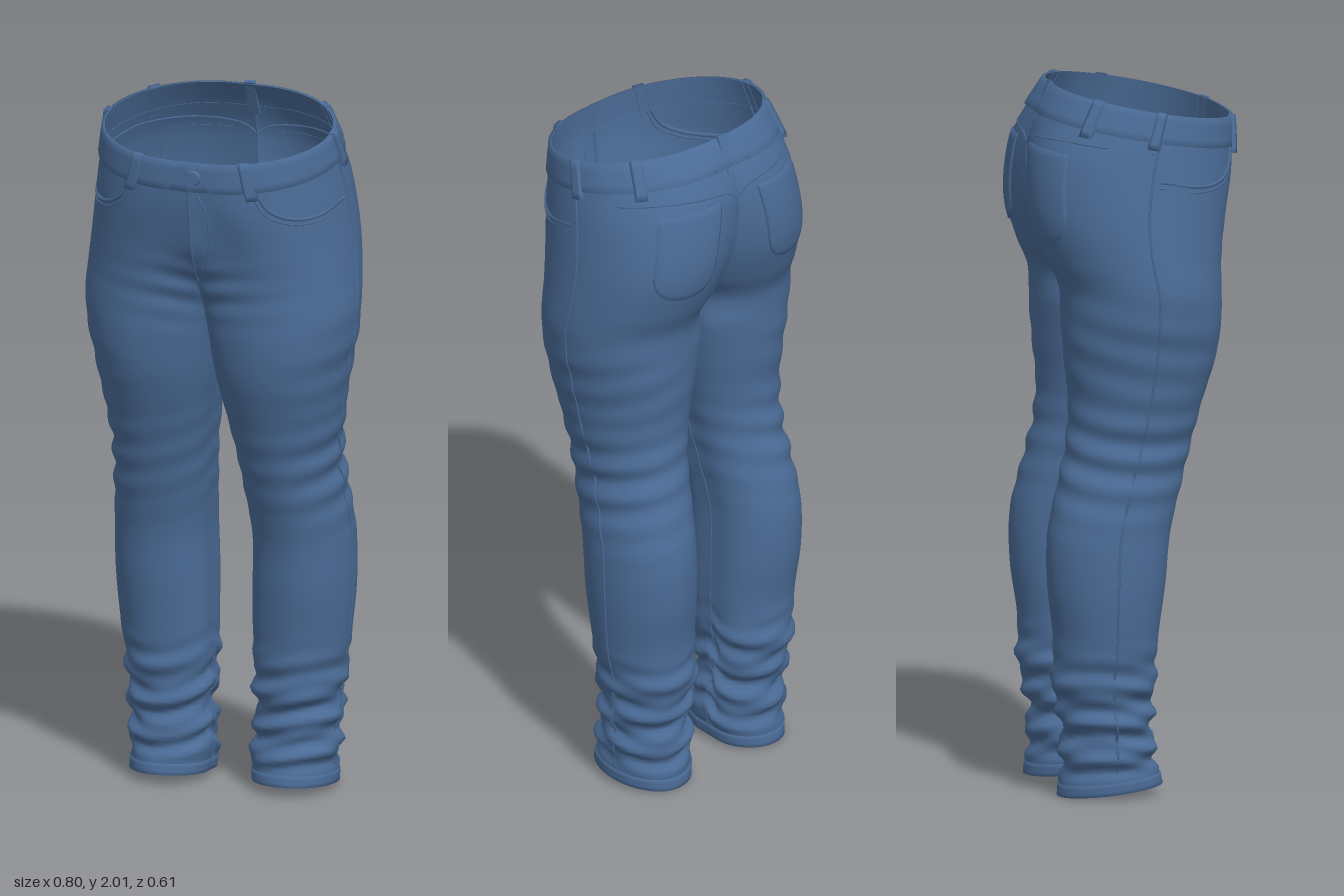
import * as THREE from 'three';
import { mergeGeometries, mergeVertices } from 'three/addons/utils/BufferGeometryUtils.js';

// Leg sections: height, inner x, outer x, x of the crease, front z, back z, flatness of the inner side
const LEG = [
  [0, .075, .298, .19, .065, -.228, .12], [.1, .065, .303, .19, .046, -.222, .12],
  [.2, .075, .308, .19, .036, -.22, .12], [.32, .07, .318, .195, .044, -.247, .12],
  [.45, .068, .336, .2, .052, -.245, .12], [.6, .07, .348, .21, .07, -.264, .12],
  [.75, .073, .347, .21, .085, -.264, .12], [.9, .06, .335, .2, .123, -.23, .12],
  [1, .05, .331, .19, .15, -.206, .13], [1.12, .032, .347, .18, .185, -.196, .15],
  [1.25, .01, .368, .18, .225, -.208, .18], [1.36, .003, .39, .18, .239, -.214, .25],
];
// Hip sections: height, inner x, outer x, x of the fullest point, front z, back z, centre front z, centre back z
const HIP = [
  [1.45, 0, .398, .17, .24, -.22, .17, -.1], [1.53, 0, .393, .16, .243, -.255, .215, -.19],
  [1.65, 0, .38, .14, .26, -.292, .275, -.255], [1.78, 0, .362, .1, .285, -.285, .293, -.272],
  [1.87, 0, .346, .06, .296, -.248, .3, -.245], [1.955, 0, .33, .04, .296, -.2, .298, -.2],
];
const ROWS = LEG.map(([y, xi, xo, xp, f, b, g]) => {
  const mid = (f + b) / 2, h = (f - b) * g;
  return [y, xi, xo, xp, f, b, mid + h, mid - h];
}).concat(HIP);
const CROTCH = 1.45, TOP = 1.955;
const smooth = THREE.MathUtils.smoothstep;
const bump = (v, c, w) => Math.exp(-(((v - c) / w) ** 2));

// Smoothly interpolated section at height v
function section(v) {
  let i = 0;
  while (i < ROWS.length - 2 && v > ROWS[i + 1][0]) i++;
  const slope = (k, c) => {
    const a = ROWS[Math.max(k - 1, 0)], b = ROWS[Math.min(k + 1, ROWS.length - 1)];
    return (b[c] - a[c]) / (b[0] - a[0]);
  };
  const p = ROWS[i], q = ROWS[i + 1], h = q[0] - p[0], t = (v - p[0]) / h;
  const t2 = t * t, t3 = t2 * t;
  return p.map((_, c) => (2 * t3 - 3 * t2 + 1) * p[c] + (t3 - 2 * t2 + t) * h * slope(i, c)
    + (3 * t2 - 2 * t3) * q[c] + (t3 - t2) * h * slope(i + 1, c));
}

// Point round a section: 0 centre front, 1 front, 2 outer side, 3 back, 4 centre back, 4 to 5 inner side
function outline(s, t) {
  const [v, xi, xo, xp, zf, zb, f0, b0] = s, mid = (zf + zb) / 2, k = 1 + smooth(v, 1.35, 1.6);
  if (t >= 4) return [xi, b0 + (f0 - b0) * (t - 4)];
  const a = Math.abs(t < 2 ? t - 1 : t - 3) * Math.PI / 2;
  const edge = t < 2 ? zf : zb, end = t < 2 ? f0 : b0;
  if (t < 1 || t > 3) return [xp - (xp - xi) * Math.sin(a), end + (edge - end) * Math.max(Math.cos(a), 0) ** k];
  return [xp + (xo - xp) * Math.sin(a), mid + (edge - mid) * Math.cos(a)];
}

// Folds in the cloth: ankles, knees, back of thighs and crotch
function folds(v, t, side) {
  const w = t * Math.PI * 2 / 5, ph = side * (1 - smooth(v, 1.1, 1.35));
  const ankle = .009 * (1 - smooth(v, .25, .48)) * smooth(v, .03, .08)
    * (Math.sin(v * 62 + 1.8 * Math.sin(w + ph) + ph) + .6 * Math.sin(v * 105 + 3 * Math.sin(w * 2 + ph)));
  const back = Math.max(0, -Math.cos(w * 1.1 + .1));
  const knee = .0055 * bump(v, .97, .14) * (.35 + back) * Math.sin(v * 70 + 3 * Math.sin(w + ph * .5));
  const thigh = .003 * bump(v, 1.28, .12) * back * Math.sin(v * 60 + 4 * Math.sin(w));
  const crotch = .005 * bump(v, 1.52, .08) * bump(t, .55, .5) * Math.sin(v * 85 - 3 * t);
  return ankle + knee + thigh + crotch;
}

// Point on the cloth, lifted outward by off
function surf(v, t, off = 0, side = 1) {
  const s = section(v), [x0, z0] = outline(s, t);
  const [xa, za] = outline(s, Math.max(t - .02, 0)), [xb, zb] = outline(s, Math.min(t + .02, 5));
  const tx = xb - xa, tz = zb - za, len = Math.hypot(tx, tz) || 1, d = off + folds(v, t, side);
  let x = Math.max(x0 - tz / len * d, Math.min(s[1], .004)), z = z0 + tx / len * d;
  if (v >= CROTCH - 1e-6 && (t === 0 || t >= 4)) x = 0;
  let y = v - .18 * (z - .05) * smooth(v, 1.55, 1.9) + .1 * (z + .23) * (1 - smooth(v, 0, .3));
  if (t > 4) y -= .035 * Math.sin((t - 4) * Math.PI) * smooth(v, 1.3, CROTCH);
  return new THREE.Vector3(x * side, y, z);
}

// Grid of points to geometry, leaving out cells that skip() rejects
function grid(nu, nv, point, flip, skip = () => false) {
  const pos = [], idx = [];
  for (let j = 0; j <= nv; j++) for (let i = 0; i <= nu; i++) pos.push(...point(i, j).toArray());
  for (let j = 0; j < nv; j++) for (let i = 0; i < nu; i++) {
    if (skip(i, j)) continue;
    const a = j * (nu + 1) + i, b = a + 1, d = a + nu + 1, c = d + 1;
    idx.push(...(flip ? [a, c, b, a, d, c] : [a, b, c, a, c, d]));
  }
  const g = new THREE.BufferGeometry();
  g.setAttribute('position', new THREE.Float32BufferAttribute(pos, 3));
  g.setIndex(idx);
  return g;
}

// Thin raised piece of cloth whose edges tuck into the surface; shape maps (u, w) to (v, t)
function patch(shape, nu, nv, off, side, openEnds = false) {
  const g = grid(nu, nv, (i, j) => {
    const rim = j === 0 || j === nv || (!openEnds && (i === 0 || i === nu));
    const squeeze = (k, n) => k === 0 ? 0 : k === n ? 1 : (k - 1) / (n - 2);
    const [v, t] = shape(openEnds ? i / nu : squeeze(i, nu), squeeze(j, nv));
    return surf(v, t, rim ? -.002 : off, side);
  }, side < 0);
  g.computeVertexNormals();
  return g;
}

export function createModel() {
  const model = new THREE.Group();
  model.name = 'jeans';
  const denim = new THREE.MeshStandardMaterial({ color: 0x4a6b96, side: THREE.DoubleSide });
  denim.name = 'blue denim';
  const add = (name, geometry) => {
    const m = new THREE.Mesh(geometry, denim);
    m.name = name;
    model.add(m);
    return m;
  };
  const seam = (name, pts, side, r = .004) => add(name, new THREE.TubeGeometry(
    new THREE.CatmullRomCurve3(pts.map(([v, t]) => surf(v, t, 0, side))), pts.length * 6, r, 5));

  // Seat and both legs as one smooth shell
  const low = 116, high = 40, cols = 80;
  const half = side => grid(cols, low + high, (i, j) => surf(
    j <= low ? CROTCH * j / low : CROTCH + (TOP - CROTCH) * (j - low) / high, i / 16, 0, side),
  side < 0, (i, j) => i >= 64 && j >= low);
  const body = mergeVertices(mergeGeometries([half(1), half(-1)]), 1e-5);
  body.computeVertexNormals();
  add('seatAndLegs', body);

  for (const side of [1, -1]) {
    const tag = side > 0 ? 'left' : 'right';
    // Waistband and hem
    add(tag + 'Waistband', patch((u, w) => [1.872 + (TOP - 1.872) * w, u * 4], 64, 6, .007, side, true));
    add(tag + 'Hem', patch((u, w) => [.001 + .034 * w, u * 5], 80, 5, .004, side, true));

    // Belt loops at front, side and back
    for (const [name, t, w] of [['Front', 1.26, .035], ['Side', 2.04, .035], ['Back', 2.48, .04]])
      add(tag + name + 'BeltLoop', patch((u, k) => [1.852 + .106 * k, t + (u - .5) * 2 * w], 6, 8, .016, side));

    // Back pocket with a pointed, rounded bottom
    add(tag + 'BackPocket', patch((u, w) => {
      const e = Math.abs(u - .5) * 2;
      const bottom = 1.585 + .035 * e * e + .03 * e ** 8;
      return [bottom + (1.8 - bottom) * w, 3.15 - .58 * u];
    }, 18, 16, .006, side));

    // Front pocket opening and its second stitched line
    seam(tag + 'FrontPocketEdge', [[1.87, 1.3], [1.81, 1.33], [1.77, 1.45], [1.755, 1.65], [1.765, 1.95]], side, .006);
    seam(tag + 'FrontPocketStitch', [[1.87, 1.27], [1.8, 1.29], [1.755, 1.42], [1.738, 1.65], [1.748, 1.95]], side, .003);

    // Outer side seam and inseam
    const climb = (t, top) => Array.from({ length: 40 }, (_, i) => [.02 + (top - .02) * i / 39, t]);
    seam(tag + 'SideSeam', climb(2, 1.87), side);
    seam(tag + 'Inseam', climb(4.5, 1.4), side, .003);

    // Yoke seam above the back pocket
    seam(tag + 'YokeSeam', [[1.79, 4], [1.81, 3.4], [1.825, 2.8], [1.835, 2.4], [1.84, 2.02]], side, .003);
  }

  // Loop at the centre of the back
  const backLoop = new THREE.BoxGeometry(.03, .115, .012);
  const at = surf(1.905, 4, .014);
  const loop = add('centreBackBeltLoop', backLoop);
  loop.position.copy(at);
  loop.rotation.x = .42;

  // Fly stitching, centre seams and waist button
  seam('flyStitch', [[1.87, .5], [1.8, .68], [1.7, .6], [1.6, .45], [1.55, .2], [1.53, .05]], 1, .003);
  seam('frontCentreSeam', [[1.87, 0], [1.78, 0], [1.65, 0], [1.55, 0], [1.48, 0]], 1);
  seam('backCentreSeam', [[1.87, 4], [1.78, 4], [1.65, 4], [1.55, 4], [1.48, 4]], 1);
  const button = add('waistButton', new THREE.CylinderGeometry(.02, .024, .014, 20));
  button.position.copy(surf(1.915, 0, .008)).setX(.015);
  button.rotation.x = Math.PI / 2;
  return model;
}
